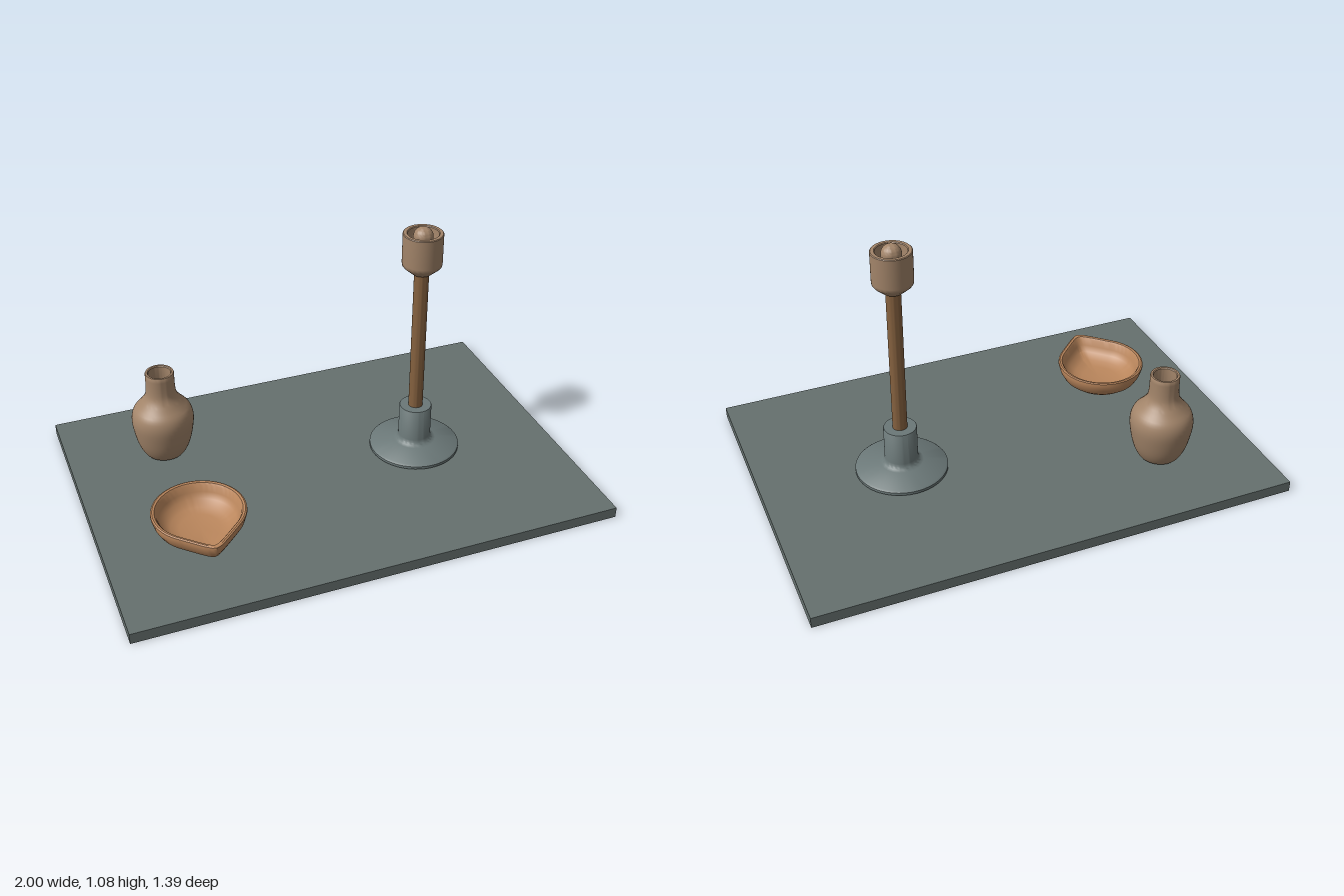
import * as THREE from 'three';
import { toCreasedNormals } from 'three/addons/utils/BufferGeometryUtils.js';

const SLAB_TOP = 0.045;

const mat = (name, color) => {
  const m = new THREE.MeshStandardMaterial({ color });
  m.name = name;
  return m;
};

// Turned part from [radius, y] pairs, running up the outside and down the inside
const lathe = (points, segments = 48) =>
  new THREE.LatheGeometry(points.map(([r, y]) => new THREE.Vector2(r, y)), segments);

// Curved outline through the given [radius, y] pairs
const smoothProfile = (points, n) =>
  new THREE.SplineCurve(points.map(([r, y]) => new THREE.Vector2(r, y)))
    .getPoints(n).map((p) => [p.x, p.y]);

// Pulls the +z side of a round dish out into a softly rounded pouring lip
function pullLip(geometry) {
  const pos = geometry.attributes.position;
  const tangent = 0.77, soften = 0.08;
  for (let i = 0; i < pos.count; i++) {
    const x = pos.getX(i), y = pos.getY(i), z = pos.getZ(i);
    const angle = Math.hypot(Math.atan2(x, z), soften);
    const stretch = angle < tangent ? 1 / Math.cos(tangent - angle) : 1;
    const amount = THREE.MathUtils.clamp(0.5 + (y - SLAB_TOP) / 0.08, 0.5, 1);
    const k = 1 + amount * (stretch - 1);
    pos.setXYZ(i, x * k, y, z * k);
  }
  return geometry;
}

export function createModel() {
  const model = new THREE.Group();
  const slate = mat('slate', 0x65706e);
  const greyMetal = mat('grey metal', 0x6b7878);
  const clay = mat('tan clay', 0xa3856a);
  const wood = mat('brown wood', 0x85613f);
  const terracotta = mat('terracotta', 0xba865c);

  const add = (parent, name, geometry, material) => {
    const mesh = new THREE.Mesh(toCreasedNormals(geometry, 0.6), material);
    mesh.name = name;
    parent.add(mesh);
    return mesh;
  };
  const group = (name, x, z) => {
    const g = new THREE.Group();
    g.name = name;
    g.position.set(x, 0, z);
    model.add(g);
    return g;
  };

  // Base slab
  add(model, 'slab', new THREE.BoxGeometry(2, SLAB_TOP, 1.39), slate)
    .position.y = SLAB_TOP / 2;

  // Tall stand: flared foot with socket, pole, cup and rounded peg
  const stand = group('stand', 0.42, 0);
  add(stand, 'foot', lathe([
    [0, SLAB_TOP], [0.182, SLAB_TOP], [0.19, 0.05], [0.19, 0.062], [0.183, 0.068],
    [0.09, 0.086], [0.078, 0.091], [0.071, 0.099], [0.068, 0.112],
    [0.068, 0.25], [0.066, 0.253], [0, 0.253],
  ]), greyMetal);
  add(stand, 'pole', new THREE.CylinderGeometry(0.03, 0.03, 0.65, 32), wood)
    .position.y = 0.565;
  add(stand, 'cup', lathe([
    [0, 0.88], [0.04, 0.88], [0.075, 0.911], [0.08, 0.918], [0.081, 0.93],
    [0.081, 1.052], [0.078, 1.055], [0.065, 1.055], [0.062, 1.052],
    [0.06, 0.95], [0.05, 0.935], [0, 0.935],
  ]), clay);
  const peg = [[0.04, 0.935]];
  for (let i = 0; i <= 10; i++) {
    const a = (i / 10) * Math.PI / 2;
    peg.push([0.04 * Math.cos(a), 1.04 + 0.04 * Math.sin(a)]);
  }
  add(stand, 'peg', lathe(peg, 32), clay);

  // Vase with a hollow neck
  const vase = group('vase', -0.595, -0.33);
  add(vase, 'vaseBody', lathe([
    [0, SLAB_TOP],
    ...smoothProfile([
      [0.062, SLAB_TOP], [0.085, 0.06], [0.108, 0.105], [0.123, 0.165], [0.13, 0.225],
      [0.12, 0.268], [0.092, 0.302], [0.069, 0.335], [0.061, 0.37], [0.06, 0.443],
    ], 32),
    [0.058, 0.447], [0.05, 0.447], [0.047, 0.443], [0.046, 0.37],
    [0.056, 0.33], [0.1, 0.27], [0.112, 0.22], [0.09, 0.11], [0.05, 0.065], [0, 0.065],
  ]), clay);

  // Shallow dish with a pouring lip
  const dish = group('dish', -0.608, 0.245);
  add(dish, 'dishBody', pullLip(lathe([
    [0, SLAB_TOP], [0.09, SLAB_TOP], [0.13, 0.066], [0.163, 0.092], [0.178, 0.118],
    [0.188, 0.152], [0.187, 0.159], [0.181, 0.162], [0.172, 0.16], [0.166, 0.152],
    [0.158, 0.125], [0.145, 0.1], [0.115, 0.08], [0.08, 0.072], [0, 0.07],
  ], 96)), terracotta);

  return model;
}
